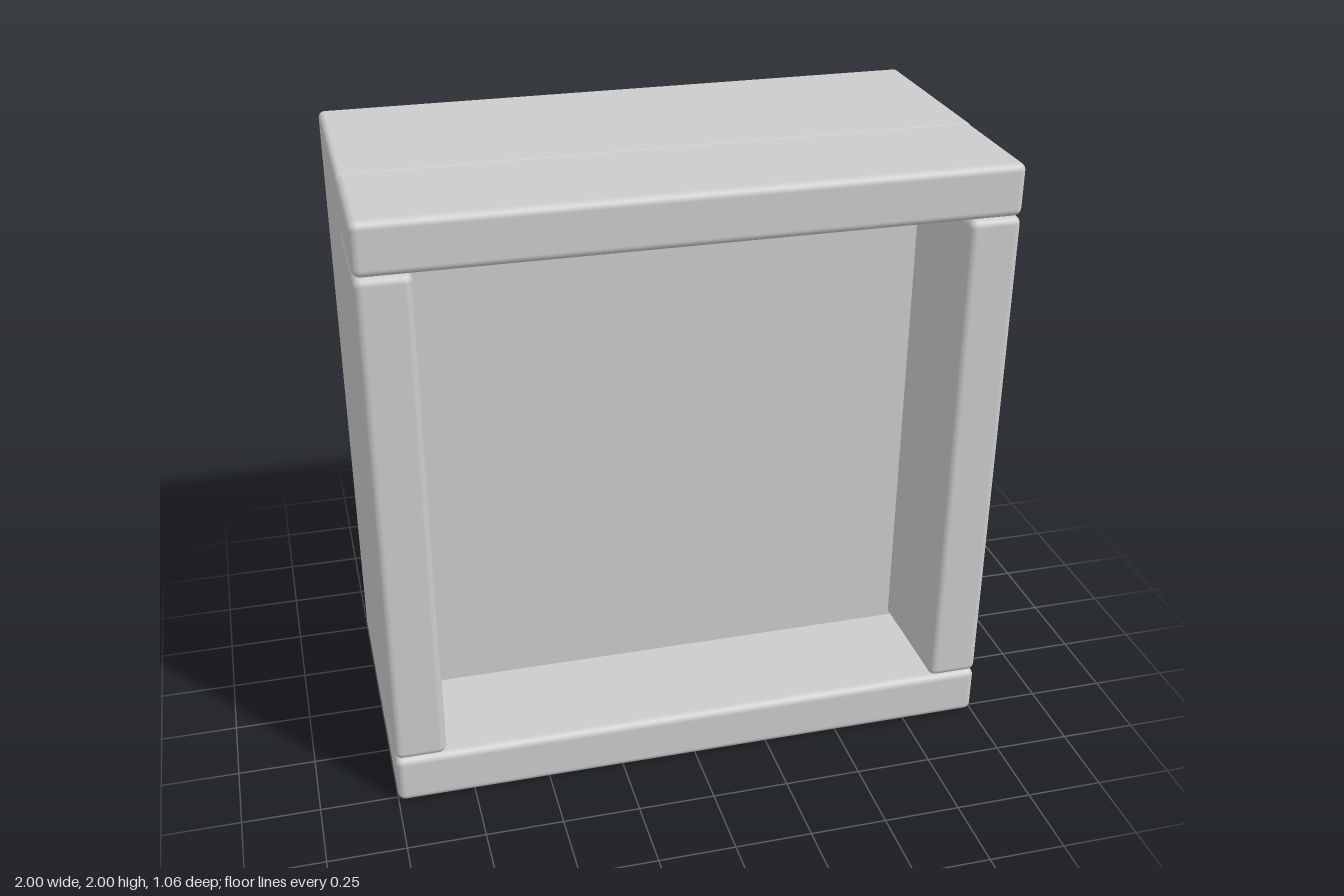
import * as THREE from 'three';
import { RoundedBoxGeometry } from 'three/addons/geometries/RoundedBoxGeometry.js';

export function createModel() {
  const model = new THREE.Group();
  model.name = 'framedBox';

  const grey = new THREE.MeshStandardMaterial({ color: 0xcccccc });
  grey.name = 'light grey';

  // Softly rounded block spanning two opposite corners
  function block(name, min, max, radius = 0.025) {
    const [w, h, d] = max.map((v, i) => v - min[i]);
    const mesh = new THREE.Mesh(new RoundedBoxGeometry(w, h, d, 4, radius), grey);
    mesh.position.set(...max.map((v, i) => (v + min[i]) / 2));
    mesh.name = name;
    model.add(mesh);
  }

  const bar = 0.167;               // frame bar thickness
  const back = 0.105, front = 0.53; // bars sink slightly into the body

  // Solid rear body
  block('body', [-1, 0, -0.53], [1, 2, 0.13], 0.02);

  // Full-width bars at bottom and top
  block('bottomBar', [-1, 0, back], [1, bar, front]);
  block('topBar', [-1, 2 - bar, back], [1, 2, front]);

  // Upright bars fitted between them
  block('leftBar', [1 - bar, bar, back], [1, 2 - bar, front]);
  block('rightBar', [-1, bar, back], [-1 + bar, 2 - bar, front]);

  return model;
}
